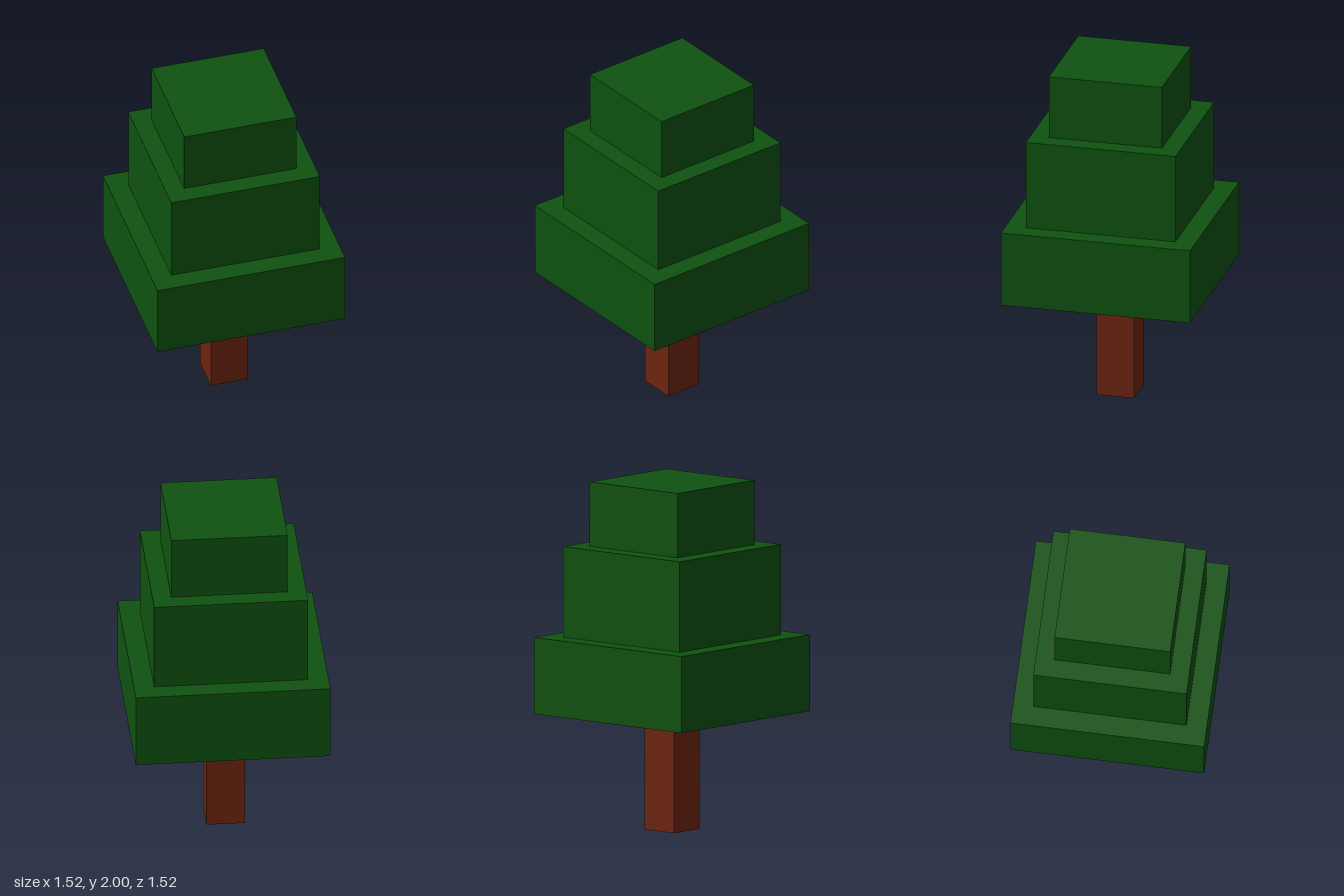
import * as THREE from 'three';

export function createModel() {
  const tree = new THREE.Group();
  tree.name = 'blockTree';

  const foliage = new THREE.MeshStandardMaterial({ color: 0x0f5210 });
  foliage.name = 'dark green foliage';
  const bark = new THREE.MeshStandardMaterial({ color: 0x6e2410 });
  bark.name = 'red brown bark';

  // Square block standing between two heights
  function addBlock(name, width, bottom, top, material) {
    const mesh = new THREE.Mesh(new THREE.BoxGeometry(width, top - bottom, width), material);
    mesh.name = name;
    mesh.position.y = (bottom + top) / 2;
    tree.add(mesh);
  }

  // Trunk and three stacked foliage tiers
  addBlock('trunk', 0.22, 0, 0.67, bark);
  addBlock('lowerFoliage', 1.11, 0.67, 1.11, foliage);
  addBlock('middleFoliage', 0.878, 1.11, 1.63, foliage);
  addBlock('upperFoliage', 0.663, 1.63, 2, foliage);

  // The whole tree is turned on its axis
  tree.rotation.y = Math.PI / 6;

  const model = new THREE.Group();
  model.name = 'tree';
  model.add(tree);
  return model;
}
